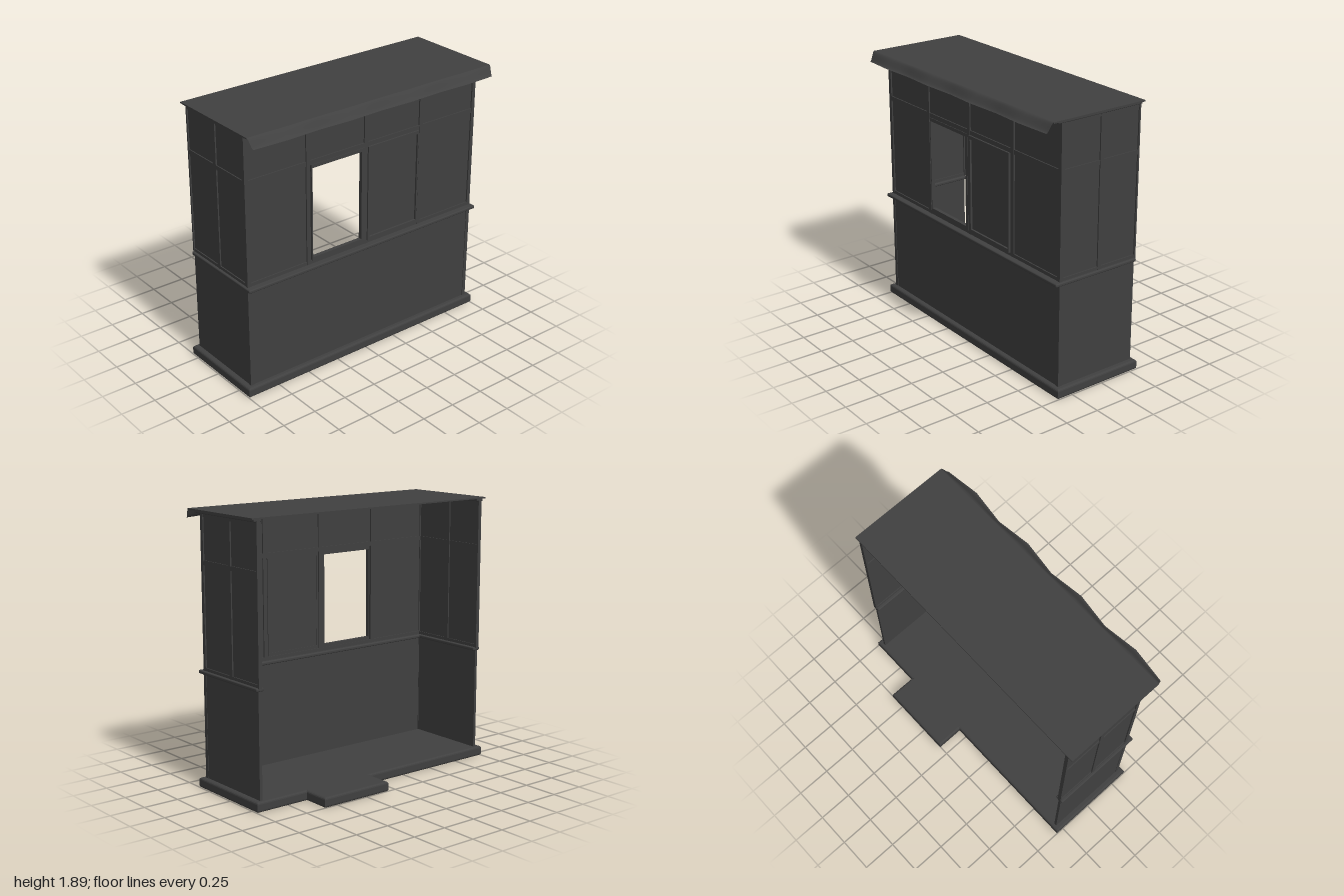
import * as THREE from 'three';
import { RoundedBoxGeometry } from 'three/addons/geometries/RoundedBoxGeometry.js';

export function createModel() {
  const model = new THREE.Group();
  model.name = 'kiosk';
  const charcoal = new THREE.MeshStandardMaterial({ color: 0x404040, side: THREE.DoubleSide });
  charcoal.name = 'charcoal';

  const add = (name, geometry, parent = model) => {
    const mesh = new THREE.Mesh(geometry, charcoal);
    mesh.name = name;
    parent.add(mesh);
    return mesh;
  };
  const group = (name) => {
    const g = new THREE.Group();
    g.name = name;
    model.add(g);
    return g;
  };
  // Box given by its limits on each axis; a radius rounds its edges
  const box = (name, x0, x1, y0, y1, z0, z1, parent, radius = 0) => {
    const size = [x1 - x0, y1 - y0, z1 - z0];
    const geometry = radius ? new RoundedBoxGeometry(...size, 2, radius) : new THREE.BoxGeometry(...size);
    const mesh = add(name, geometry, parent);
    mesh.position.set((x0 + x1) / 2, (y0 + y1) / 2, (z0 + z1) / 2);
    return mesh;
  };
  const rectangle = (Type, x0, x1, y0, y1) => new Type([
    new THREE.Vector2(x0, y0), new THREE.Vector2(x1, y0),
    new THREE.Vector2(x1, y1), new THREE.Vector2(x0, y1)]);
  // Flat frame around an opening
  const frame = (name, outer, inner, z0, z1, parent) => {
    const shape = rectangle(THREE.Shape, ...outer);
    shape.holes.push(rectangle(THREE.Path, ...inner));
    const mesh = add(name, new THREE.ExtrudeGeometry(shape, { depth: z1 - z0, bevelEnabled: false }), parent);
    mesh.position.z = z0;
  };

  // Floor slab with a step at the back entrance
  const b = 0.015;
  const outline = new THREE.Shape([
    [-1, -0.37], [1, -0.37], [1, 0.31], [0.605, 0.31], [0.605, 0.505],
    [0.065, 0.505], [0.065, 0.31], [-1, 0.31],
  ].map(([x, y]) => new THREE.Vector2(x, y)));
  const slab = add('floorSlab', new THREE.ExtrudeGeometry(outline, {
    depth: 0.07 - 2 * b, bevelThickness: b, bevelSize: b, bevelOffset: -b, bevelSegments: 3,
  }));
  slab.rotation.x = -Math.PI / 2;
  slab.position.y = b;

  // Lower walls and counter ledge
  const lower = group('lowerWalls');
  const ledge = group('counterLedge');
  box('frontLowerPanel', -0.945, 0.945, 0.065, 0.795, 0.315, 0.336, lower);
  box('frontLedge', -0.98, 0.98, 0.79, 0.814, 0.285, 0.38, ledge, 0.008);

  // Front upper wall: uprights, rails and recessed panels
  const front = group('frontUpperWall');
  for (const x of [-0.475, 0, 0.475]) {
    box('frontUpright', x - 0.015, x + 0.015, 0.81, 1.87, 0.31, 0.34, front);
  }
  for (const [y0, y1] of [[0.81, 0.838], [1.525, 1.557], [1.84, 1.87]]) {
    box('frontRail', -0.95, 0.95, y0, y1, 0.312, 0.338, front);
  }
  [[-0.94, -0.475], [-0.475, 0], [0, 0.475], [0.475, 0.94]].forEach(([x0, x1], i) => {
    box('frontTopPanel', x0, x1, 1.55, 1.845, 0.32, 0.33, front);
    if (i === 0 || i === 3) box('frontPanel', x0, x1, 0.83, 1.53, 0.32, 0.33, front);
  });

  // Serving window: one side open, the other closed by a framed leaf
  const windows = group('servingWindow');
  frame('openWindowFrame', [-0.45, -0.012, 0.835, 1.526], [-0.443, -0.037, 0.86, 1.502], 0.315, 0.342, windows);
  frame('closedWindowFrame', [0.012, 0.45, 0.835, 1.526], [0.03, 0.44, 0.86, 1.502], 0.318, 0.35, windows);
  box('closedWindowPanel', 0.03, 0.44, 0.86, 1.502, 0.322, 0.336, windows);

  // Side walls, mirrored
  for (const side of [1, -1]) {
    const wall = group(side > 0 ? 'leftWall' : 'rightWall');
    const sideBox = (name, inner, outer, y0, y1, z0, z1, parent = wall, radius = 0) =>
      box(name, Math.min(side * inner, side * outer), Math.max(side * inner, side * outer), y0, y1, z0, z1, parent, radius);
    sideBox('cornerPost', 0.938, 0.965, 0.065, 1.87, 0.313, 0.34);
    sideBox('sideLowerPanel', 0.942, 0.962, 0.065, 0.795, -0.285, 0.32);
    sideBox('sideLedge', 0.92, 0.98, 0.79, 0.814, -0.29, 0.38, ledge, 0.008);
    sideBox('sideUpright', 0.938, 0.965, 0.81, 1.87, 0, 0.03);
    sideBox('rearUpright', 0.938, 0.965, 0.81, 1.87, -0.295, -0.283);
    for (const [y0, y1] of [[0.81, 0.835], [1.525, 1.557], [1.84, 1.87]]) {
      sideBox('sideRail', 0.94, 0.963, y0, y1, -0.29, 0.33);
    }
    for (const [z0, z1] of [[-0.288, 0.005], [0.025, 0.32]]) {
      sideBox('sidePanel', 0.947, 0.956, 0.83, 1.53, z0, z1);
      sideBox('sideTopPanel', 0.947, 0.956, 1.55, 1.845, z0, z1);
    }
    sideBox('sideRoofTrim', 0.925, 0.982, 1.863, 1.885, -0.292, 0.38, wall, 0.006);
  }
  box('frontRoofTrim', -0.982, 0.982, 1.863, 1.885, 0.29, 0.38, front, 0.006);

  // Roof sheet and its scalloped drooping valance
  const roof = group('roof');
  box('roofSheet', -1, 1, 1.881, 1.89, -0.297, 0.43, roof);
  const columns = 16, rows = 8;
  const valance = new THREE.PlaneGeometry(1, 1, columns, rows);
  const p = valance.attributes.position;
  for (let i = 0; i < p.count; i++) {
    const u = p.getX(i) * 2, t = 0.5 - p.getY(i);
    // Bulge rises from 0 at each pleat to 1 between pleats
    const phase = ((u + 1) * 2) % 1;
    const bulge = 1 - Math.abs(2 * phase - 1);
    const drop = t * t * (3 - 2 * t);
    p.setXYZ(i, u * (1 - 0.018 * t), 1.89 - (0.067 - 0.01 * bulge) * drop, 0.43 + (0.045 + 0.028 * bulge) * t);
  }
  valance.computeVertexNormals();
  add('valance', valance, roof);

  return model;
}
